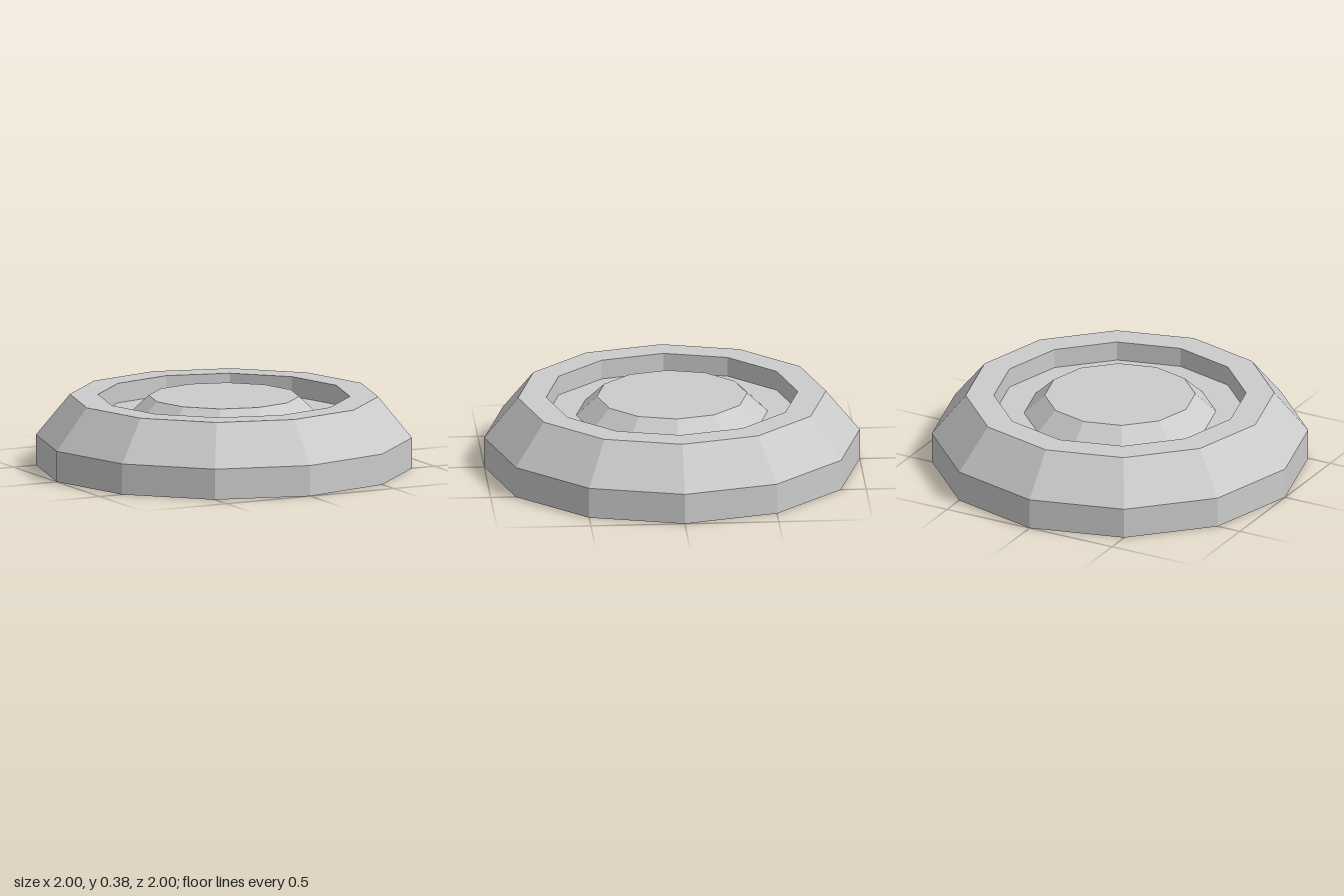
import * as THREE from 'three';

const SIDES = 12;

export function createModel() {
  const group = new THREE.Group();
  group.name = 'steppedDish';

  // Underside, from the centre out to the foot
  const underside = [
    [0, 0.338], [0.39, 0.338], [0.5, 0.235], [0.71, 0.235],
    [0.71, 0.343], [0.8, 0.343], [0.96, 0.145], [0.96, 0],
  ];
  // Top side: outer wall, sloped shoulder, flat rim, sunken ring, raised centre
  const topside = [
    [1, 0], [1, 0.165], [0.82, 0.385], [0.67, 0.385],
    [0.67, 0.28], [0.51, 0.28], [0.4, 0.383], [0, 0.383],
  ];

  // One closed, faceted shell of revolution
  const profile = [...underside, ...topside].map(([r, y]) => new THREE.Vector2(r, y));
  const shell = new THREE.Mesh(
    new THREE.LatheGeometry(profile, SIDES),
    new THREE.MeshStandardMaterial({ color: 0xcccccc, flatShading: true })
  );
  shell.name = 'shell';
  group.add(shell);

  return group;
}
